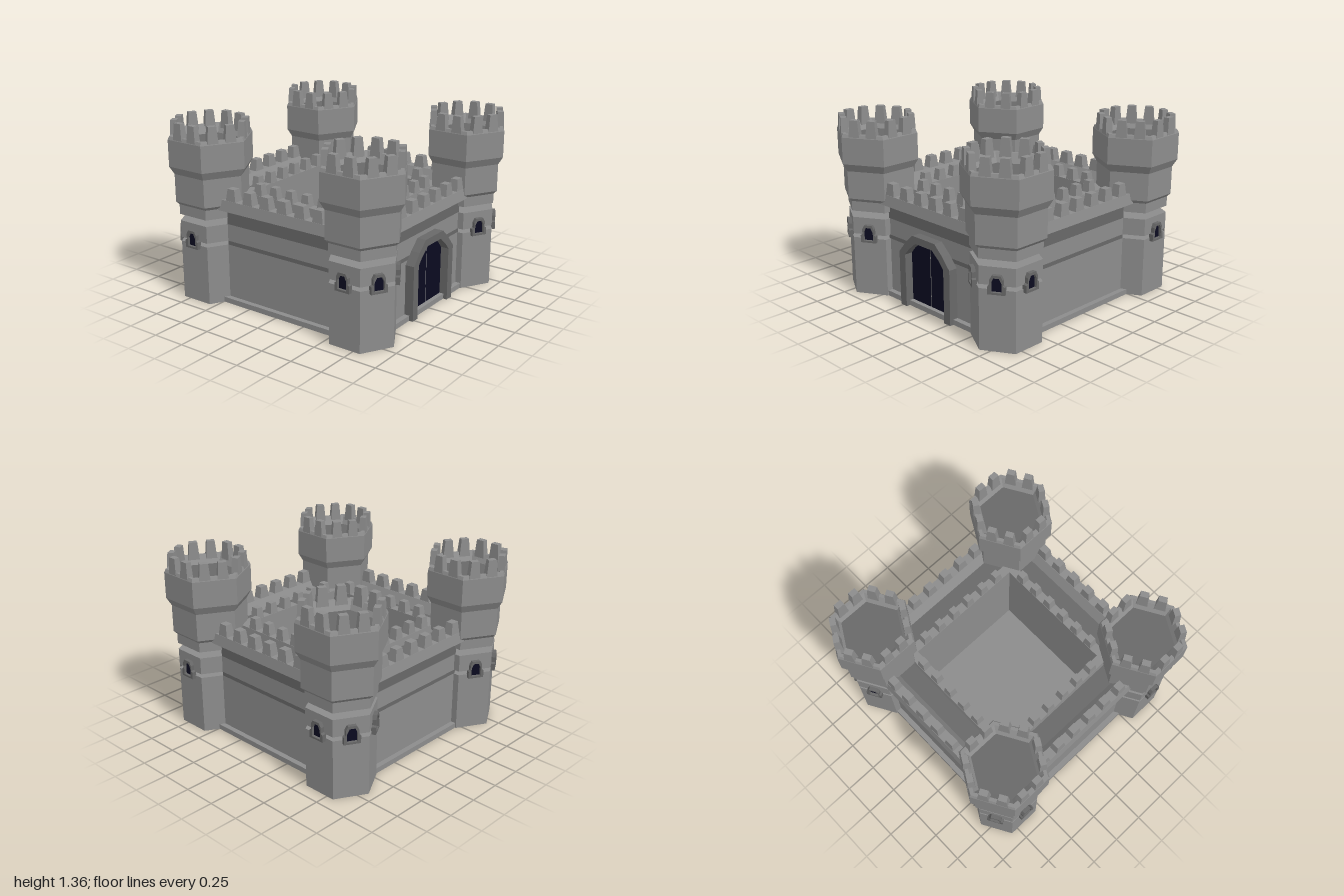
import * as THREE from 'three';

const stone = new THREE.MeshStandardMaterial({ color: 0x8c8c8c });
stone.name = 'lightStone';
const darkStone = new THREE.MeshStandardMaterial({ color: 0x686868 });
darkStone.name = 'darkStone';
const navy = new THREE.MeshStandardMaterial({ color: 0x0b0b20 });
navy.name = 'darkNavy';

function part(parent, name, geometry, material, x = 0, y = 0, z = 0, turn = 0) {
  const geo = geometry.index ? geometry.toNonIndexed() : geometry;
  geo.computeVertexNormals(); // faceted normals
  const mesh = new THREE.Mesh(geo, material);
  mesh.name = name;
  mesh.position.set(x, y, z);
  mesh.rotation.y = turn;
  parent.add(mesh);
  return mesh;
}

function group(parent, name) {
  const g = new THREE.Group();
  g.name = name;
  parent.add(g);
  return g;
}

const vectors = (points) => points.map(([x, y]) => new THREE.Vector2(x, y));

// Closed outline from its right half, listed bottom to top
const mirrored = (half) => vectors([...half, ...half.map(([x, y]) => [-x, y]).reverse()]);

// Six-sided solid, points facing front and back; profile is [radius, y] upwards
const hexLathe = (profile) => new THREE.LatheGeometry(vectors(profile), 6);

// Open-ended run of wall facing +z; profile is [distance, y, halfLength]
function wallStrip(profile) {
  const position = [];
  const index = [];
  profile.forEach(([d, y, h], i) => {
    position.push(-h, y, d, h, y, d);
    if (i > 0) {
      const a = 2 * (i - 1);
      index.push(a, a + 1, a + 3, a, a + 3, a + 2);
    }
  });
  const geo = new THREE.BufferGeometry();
  geo.setAttribute('position', new THREE.Float32BufferAttribute(position, 3));
  geo.setIndex(index);
  return geo;
}

// Tapered block standing on y = 0
function merlonGeometry(width, height, depth) {
  const geo = new THREE.BoxGeometry(width, height, depth);
  geo.translate(0, height / 2, 0);
  const p = geo.attributes.position;
  for (let i = 0; i < p.count; i++) {
    if (p.getY(i) > 0.01) {
      p.setX(i, p.getX(i) * 0.7);
      p.setZ(i, p.getZ(i) * 0.8);
    }
  }
  return geo;
}

function addWall(root, name, turn) {
  const wall = group(root, name);
  const flat = (low, high) => wallStrip([[0.76, low, 0.472], [0.76, high, 0.472]]);
  part(wall, 'lowerWall', flat(0.04, 0.45), stone);
  part(wall, 'lowerBand', flat(0.45, 0.48), darkStone);
  part(wall, 'upperWall', flat(0.48, 0.61), stone);
  part(wall, 'upperBand', flat(0.61, 0.72), darkStone);
  part(wall, 'outerParapet', wallStrip([
    [0.76, 0.72, 0.5], [0.825, 0.73, 0.5], [0.81, 0.81, 0.5], [0.735, 0.81, 0.5], [0.69, 0.73, 0.55],
  ]), stone);
  part(wall, 'walkway', wallStrip([[0.69, 0.73, 0.55], [0.55, 0.73, 0.55]]), darkStone);
  part(wall, 'innerParapet', wallStrip([
    [0.55, 0.73, 0.55], [0.545, 0.79, 0.545], [0.475, 0.79, 0.475], [0.475, 0.04, 0.475],
  ]), stone);
  for (let i = 0; i < 6; i++) {
    const step = i - 2.5;
    part(wall, 'outerMerlon', merlonGeometry(0.09, 0.09, 0.07), stone, step * 0.156, 0.81, 0.773);
    part(wall, 'innerMerlon', merlonGeometry(0.075, 0.085, 0.065), stone, step * 0.145, 0.79, 0.51);
  }
  wall.rotation.y = turn;
}

function addWindow(tower, turn) {
  const win = group(tower, 'window');
  const pane = mirrored([[0.037, 0.44], [0.037, 0.505], [0.02, 0.54]]);
  const frame = new THREE.Shape(mirrored([
    [0.06, 0.425], [0.06, 0.48], [0.046, 0.49], [0.046, 0.53], [0.03, 0.56],
  ]));
  frame.holes.push(new THREE.Path(pane));
  const frameGeo = new THREE.ExtrudeGeometry(frame, { depth: 0.035, bevelEnabled: false });
  part(win, 'windowFrame', frameGeo, darkStone, 0, 0, 0.215);
  part(win, 'windowPane', new THREE.ShapeGeometry(new THREE.Shape(pane)), navy, 0, 0, 0.229);
  win.rotation.y = turn;
}

function addTower(root, name, sx, sz) {
  const tower = group(root, name);
  tower.position.set(sx * 0.68, 0, sz * 0.68);
  const drum = (low, high) => hexLathe([[0, low], [0.255, low], [0.255, high], [0, high]]);
  part(tower, 'towerBase', drum(0, 0.45), stone);
  part(tower, 'towerMiddle', drum(0.48, 0.61), stone);
  part(tower, 'towerTop', hexLathe([
    [0, 0.66], [0.258, 0.66], [0.258, 0.735], [0.283, 0.76], [0.283, 0.97], [0.32, 1.03],
    [0.32, 1.23], [0.308, 1.255], [0.28, 1.255], [0.235, 1.19],
  ]), stone);
  part(tower, 'towerFloor', hexLathe([[0.235, 1.19], [0, 1.19]]), darkStone);

  // Two merlons along each of the six sides
  for (let i = 0; i < 6; i++) {
    const side = group(tower, 'battlementSide');
    side.rotation.y = Math.PI / 6 + i * Math.PI / 3;
    for (const x of [-0.066, 0.066]) {
      part(side, 'towerMerlon', merlonGeometry(0.085, 0.135, 0.055), stone, x, 1.225, 0.248);
    }
  }

  // Windows on the three sides that face outwards
  const outward = sz > 0 ? 0 : Math.PI;
  for (const turn of [outward + Math.PI / 6, outward - Math.PI / 6, sx * Math.PI / 2]) {
    addWindow(tower, turn);
  }
}

function addGate(root) {
  const gate = group(root, 'gate');
  const outer = [[0.272, 0], [0.272, 0.42], [0.2, 0.505], [0.12, 0.578]];
  const inner = [[0.208, 0], [0.208, 0.41], [0.165, 0.46], [0.09, 0.523]];
  const left = ([x, y]) => [-x, y];
  // Arch outline: over the outside, back along the inside
  const arch = new THREE.Shape(vectors([
    ...outer, ...outer.map(left).reverse(), ...inner.map(left), ...[...inner].reverse(),
  ]));
  const archGeo = new THREE.ExtrudeGeometry(arch, { depth: 0.075, bevelEnabled: false });
  part(gate, 'gateFrame', archGeo, darkStone, 0, 0, 0.755);

  // Two door leaves with a thin gap between them
  const leaf = [[0.003, 0.04], [0.208, 0.04], [0.208, 0.41], [0.165, 0.46], [0.09, 0.523], [0.003, 0.523]];
  const leafShape = (points) => new THREE.ShapeGeometry(new THREE.Shape(vectors(points)));
  part(gate, 'leftDoor', leafShape(leaf), navy, 0, 0, 0.766);
  part(gate, 'rightDoor', leafShape(leaf.map(left).reverse()), navy, 0, 0, 0.766);
}

export function createModel() {
  const castle = new THREE.Group();
  castle.name = 'castle';

  // Plinth under the walls, also the courtyard floor
  part(castle, 'plinthAndCourtyard', new THREE.BoxGeometry(1.6, 0.04, 1.6), stone, 0, 0.02, 0);

  ['frontWall', 'leftWall', 'backWall', 'rightWall'].forEach((name, i) => {
    addWall(castle, name, i * Math.PI / 2);
  });
  addTower(castle, 'frontLeftTower', 1, 1);
  addTower(castle, 'frontRightTower', -1, 1);
  addTower(castle, 'backLeftTower', 1, -1);
  addTower(castle, 'backRightTower', -1, -1);
  addGate(castle);
  return castle;
}
